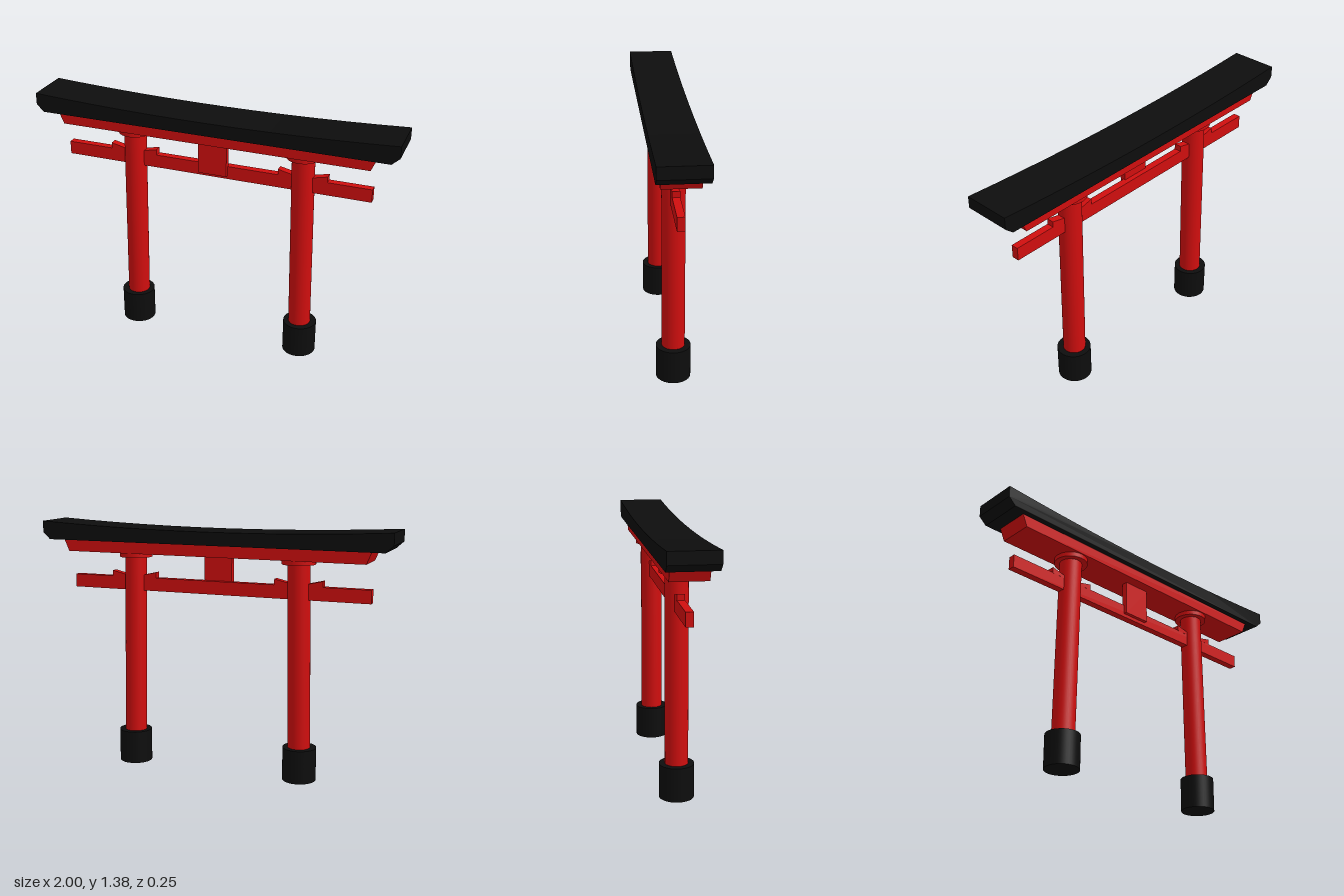
import * as THREE from 'three';

const red = new THREE.MeshStandardMaterial({ color: 0xd00e0e });
const black = new THREE.MeshStandardMaterial({ color: 0x0d0d0d });

function add(parent, name, geometry, material) {
  const mesh = new THREE.Mesh(geometry, material);
  mesh.name = name;
  parent.add(mesh);
  return mesh;
}

// Front outline extruded evenly about z = 0
function slab(points, depth) {
  const shape = new THREE.Shape(points.map(([x, y]) => new THREE.Vector2(x, y)));
  return new THREE.ExtrudeGeometry(shape, { depth, bevelEnabled: false }).translate(0, 0, -depth / 2);
}

function box(x0, x1, y0, y1, z0, z1) {
  return new THREE.BoxGeometry(x1 - x0, y1 - y0, z1 - z0)
    .translate((x0 + x1) / 2, (y0 + y1) / 2, (z0 + z1) / 2);
}

// Upright cylinder whose axis may lean from x0 at the bottom to x1 at the top
function post(radius, y0, y1, x0, x1 = x0) {
  const g = new THREE.CylinderGeometry(radius, radius, y1 - y0, 40).translate(0, (y0 + y1) / 2, 0);
  const p = g.attributes.position;
  for (let i = 0; i < p.count; i++) {
    const t = (p.getY(i) - y0) / (y1 - y0);
    p.setX(i, p.getX(i) + x0 + (x1 - x0) * t);
  }
  return g;
}

export function createModel() {
  const gate = new THREE.Group();
  gate.name = 'gate';

  // Top lintel: flat underside, clipped lower corners, gently upswept top
  const outline = [[-1, 1.316], [-0.958, 1.278], [0.958, 1.278], [1, 1.316]];
  const steps = 12;
  for (let i = 0; i <= steps; i++) {
    const x = 1 - (2 * i) / steps;
    outline.push([x, 1.35 + 0.03 * x * x]);
  }
  add(gate, 'topLintel', slab(outline, 0.255), black);

  // Second lintel with slanted ends
  add(gate, 'lowerLintel',
    slab([[-0.856, 1.213], [0.853, 1.213], [0.882, 1.279], [-0.884, 1.279]], 0.195), red);

  // Tie beam through both pillars and the central plaque
  add(gate, 'tieBeam', box(-0.87, 0.856, 1.0, 1.073, -0.02, 0.02), red);
  add(gate, 'plaque', box(-0.09, 0.07, 1.02, 1.214, 0.008, 0.04), red);

  for (const side of [-1, 1]) {
    const leg = new THREE.Group();
    leg.name = side > 0 ? 'leftLeg' : 'rightLeg';
    gate.add(leg);
    const off = 0.004;

    add(leg, 'base', post(0.092, 0, 0.185, side * 0.496 + off), black);
    add(leg, 'pillar', post(0.061, 0.18, 1.19, side * 0.493 + off, side * 0.477 + off), red);
    add(leg, 'collar', post(0.091, 1.188, 1.214, side * 0.476 + off), red);

    // Wedges on the tie beam, sloping down towards the pillar
    const centre = side * 0.481 + off;
    for (const dir of [-1, 1]) {
      const pts = [[0.03, 1.07], [0.134, 1.07], [0.134, 1.105], [0.03, 1.081]]
        .map(([x, y]) => [centre + dir * x, y]);
      add(leg, 'wedge', slab(pts, 0.041), red);
    }
  }
  return gate;
}
